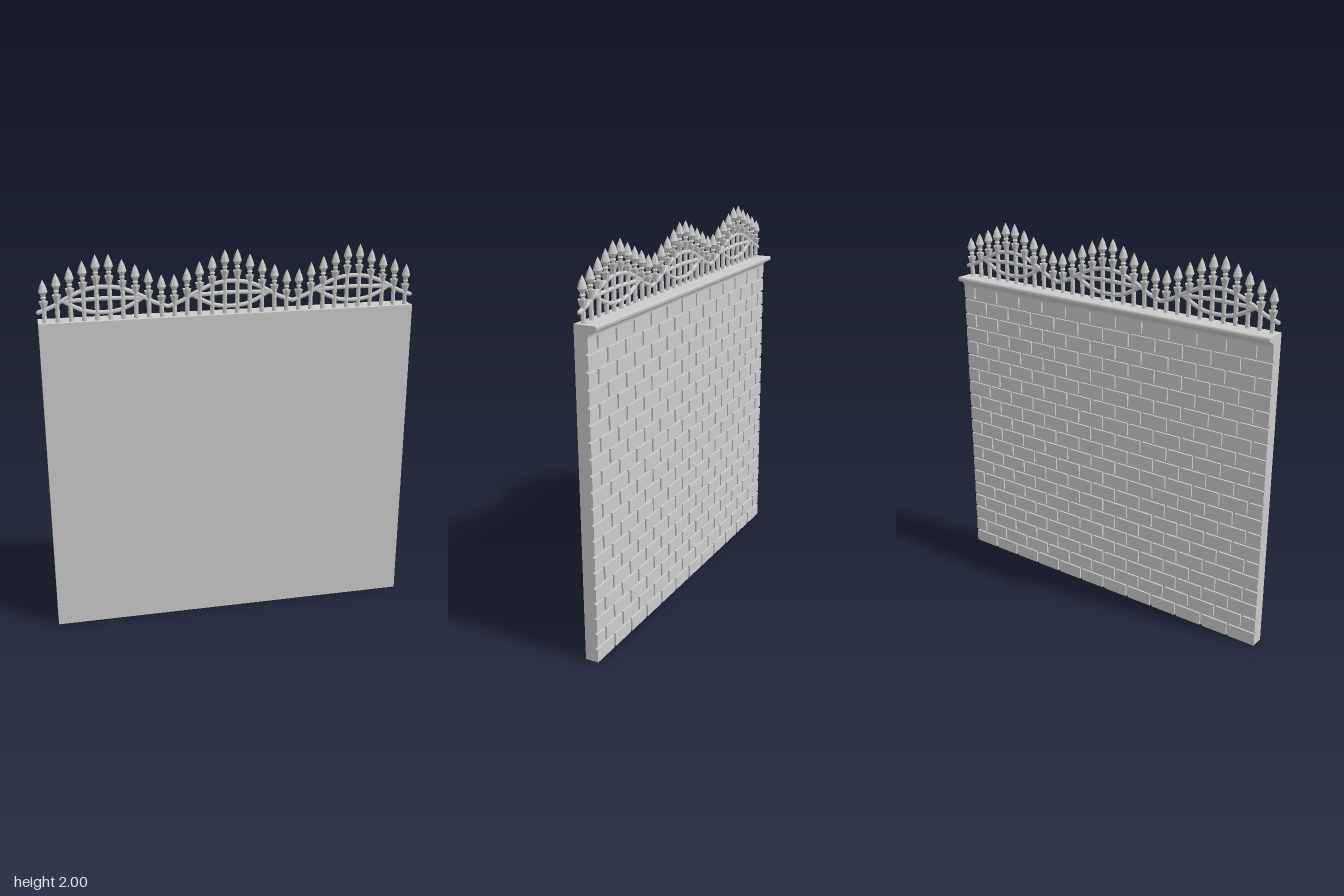
import * as THREE from 'three';
import { mergeGeometries } from 'three/addons/utils/BufferGeometryUtils.js';

const HALF = 0.965, TOP = 1.675, SECTION = 0.643, FENCE_Z = 0.027;
const flat = new THREE.MeshStandardMaterial({ color: 0xcccccc, flatShading: true });
const smooth = new THREE.MeshStandardMaterial({ color: 0xcccccc });

function addMesh(parent, name, geometry, material) {
  const mesh = new THREE.Mesh(geometry, material);
  mesh.name = name;
  parent.add(mesh);
  return mesh;
}

// Slab and coved cornice share one profile (z, y), extruded along x
function wallGeometry() {
  const s = new THREE.Shape();
  s.moveTo(0.058, 0);
  s.lineTo(0.058, TOP);
  s.lineTo(-0.053, TOP);
  s.lineTo(-0.057, 1.668);
  s.lineTo(-0.055, 1.655);
  s.lineTo(-0.046, 1.65);
  s.quadraticCurveTo(-0.014, 1.645, -0.011, 1.612);
  s.lineTo(-0.002, 1.612);
  s.lineTo(-0.002, 0);
  const g = new THREE.ExtrudeGeometry(s, { depth: 2 * HALF, bevelEnabled: false, curveSegments: 8 });
  return g.rotateY(-Math.PI / 2).translate(HALF, 0, 0);
}

// Running-bond bricks on the back, half bricks closing every other row
function brickGeometry() {
  const rows = 20, width = 2 * HALF / 12, height = 0.0816, gap = 0.014, parts = [];
  for (let r = 0; r < rows; r++) {
    const shift = r % 2 ? -width / 2 : 0;
    for (let i = 0; i <= 12; i++) {
      let x0 = -HALF + shift + i * width + gap / 2;
      let x1 = x0 + width - gap;
      if (x0 < -HALF + gap) x0 = -HALF;
      if (x1 > HALF - gap) x1 = HALF;
      if (x1 - x0 < 0.02) continue;
      const y0 = r * height;
      const h = Math.min(height - gap * 0.85, 1.63 - y0);
      const g = new THREE.BoxGeometry(x1 - x0, h, 0.012);
      parts.push(g.translate((x0 + x1) / 2, y0 + h / 2, -0.006));
    }
  }
  return mergeGeometries(parts);
}

// Picket with flared barb, neck and spear head, turned around its axis
function picketGeometry(top) {
  const profile = [
    [0, TOP - 0.005], [0.0115, TOP - 0.005], [0.0115, top - 0.15],
    [0.015, top - 0.135], [0.023, top - 0.108], [0.012, top - 0.116],
    [0.01, top - 0.098], [0.015, top - 0.09], [0.01, top - 0.082],
    [0.023, top - 0.06], [0.014, top - 0.03], [0, top],
  ].map(([x, y]) => new THREE.Vector2(x, y));
  return new THREE.LatheGeometry(profile, 8);
}

function railGeometry(points) {
  const curve = new THREE.CatmullRomCurve3(points.map(([x, y]) => new THREE.Vector3(x, y, FENCE_Z)));
  const tube = new THREE.TubeGeometry(curve, 28, 0.011, 8);
  // Close both ends with small balls
  const caps = [points[0], points[points.length - 1]].map(([x, y]) =>
    new THREE.SphereGeometry(0.011, 8, 6).translate(x, y, FENCE_Z));
  return mergeGeometries([tube, ...caps]);
}

// Left half of a rail mirrored about the section centre
function mirrored(half) {
  const other = half.slice(0, -1).reverse().map(([x, y]) => [-x, y]);
  return [...half, ...other];
}

export function createModel() {
  const model = new THREE.Group();
  model.name = 'wallWithFence';
  addMesh(model, 'wallSlab', wallGeometry(), flat);
  addMesh(model, 'bricks', brickGeometry(), flat);

  const rails = {
    upperRail: [[-0.318, 1.727], [-0.25, 1.752], [-0.18, 1.79], [-0.09, 1.828], [0, 1.84]],
    middleRail: [[-0.2, 1.776], [-0.1, 1.779], [0, 1.782]],
    lowerRail: [[-0.2, 1.78], [-0.15, 1.75], [-0.08, 1.721], [0, 1.713]],
  };
  const tops = [1.888, 1.918, 1.946, 1.973, 2.0];

  for (let s = -1; s <= 1; s++) {
    const section = new THREE.Group();
    section.name = 'fenceSection';
    section.position.x = s * SECTION;
    for (const [name, half] of Object.entries(rails)) {
      addMesh(section, name, railGeometry(mirrored(half)), smooth);
    }
    // Ten pickets rising towards the centre
    for (let i = 0; i < 10; i++) {
      const picket = addMesh(section, 'picket', picketGeometry(tops[Math.min(i, 9 - i)]), flat);
      picket.position.set((i - 4.5) * SECTION / 10, 0, FENCE_Z);
    }
    model.add(section);
  }
  return model;
}
